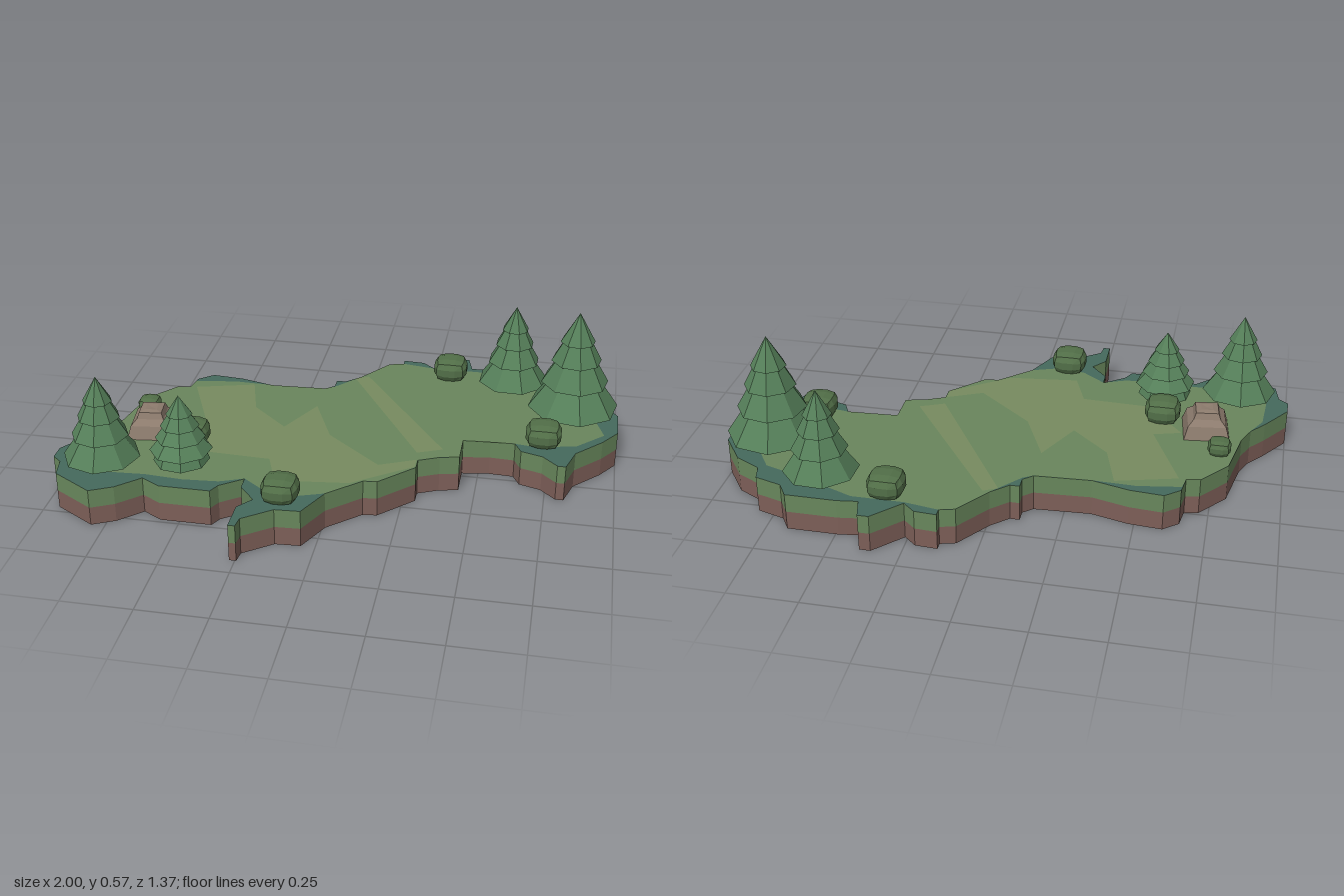
import * as THREE from 'three';

const mat = (color, extra = {}) => new THREE.MeshStandardMaterial({ color, flatShading: true, ...extra });
const M = {
  soil: mat(0x7d5f58), turf: mat(0x68875c), edge: mat(0x45695c), meadow: mat(0x69865c),
  light: mat(0x778b60), needles: mat(0x557f59), bush: mat(0x526f48), trunk: mat(0x7a5a40), rock: mat(0x8c7b6d),
};

// Island outline and the meadow inside it, as [x, z]
const OUTLINE = [
  [-.655, -.32], [-.6, -.365], [-.48, -.355], [-.345, -.32], [-.14, -.33], [-.105, -.36], [-.105, -.405], [-.07, -.405],
  [-.01, -.46], [.08, -.585], [.135, -.6], [.135, -.63], [.215, -.625], [.26, -.585], [.355, -.685], [.395, -.685],
  [.415, -.605], [.49, -.615], [.675, -.615], [.71, -.56], [.81, -.53], [.825, -.47], [.92, -.42], [1, -.31],
  [1, -.18], [.945, -.1], [.85, 0], [.82, .1], [.79, .1], [.735, .045], [.655, .02], [.63, -.03], [.54, -.035], [.44, -.02],
  [.44, .1], [.37, .115], [.295, .15], [.295, .2], [.175, .32], [.125, .325], [.01, .43], [-.05, .555], [-.14, .56],
  [-.24, .635], [-.245, .68], [-.27, .68], [-.27, .565], [-.225, .51], [-.285, .44], [-.285, .385], [-.365, .445],
  [-.385, .485], [-.57, .485], [-.64, .445], [-.72, .52], [-.8, .56], [-.95, .47], [-.965, .39], [-1, .36], [-1, .3],
  [-.92, .185], [-.87, .125], [-.84, .055], [-.805, -.13], [-.715, -.24], [-.665, -.25],
];
const MEADOW = [
  [-.655, -.3], [-.5, -.325], [-.345, -.32], [-.14, -.33], [-.105, -.35], [-.01, -.46], [.08, -.585], [.14, -.6],
  [.26, -.58], [.45, -.58], [.65, -.5], [.8, -.45], [.9, -.3], [.95, -.15], [.85, -.05], [.7, -.02], [.63, -.03], [.44, -.02],
  [.44, .1], [.37, .115], [.295, .15], [.295, .2], [.175, .32], [.125, .325], [.01, .43], [-.1, .47], [-.2, .45],
  [-.285, .385], [-.37, .42], [-.5, .43], [-.64, .42], [-.8, .43], [-.92, .36], [-.91, .2], [-.87, .125], [-.84, .055],
  [-.805, -.13], [-.715, -.24], [-.665, -.25],
];
const LIGHT_PATCHES = [
  [[-.64, -.25], [-.42, -.31], [-.37, -.13], [-.23, 0], [-.23, .24], [-.48, .23], [-.62, .06], [-.52, .03]],
  [[-.035, -.435], [.015, -.46], [.375, .06], [.285, .1]],
  [[-.23, 0], [-.14, -.18], [-.05, .03], [.16, .21], [.29, .15], [.29, .2], [.08, .35], [-.18, .38], [-.23, .24]],
];

const toShape = (pts) => new THREE.Shape(pts.map(([x, z]) => new THREE.Vector2(x, -z)));

function add(parent, name, geometry, material, x = 0, y = 0, z = 0) {
  const mesh = new THREE.Mesh(geometry, material);
  mesh.name = name;
  mesh.position.set(x, y, z);
  parent.add(mesh);
  return mesh;
}

function slab(parent, name, y, height, materials) {
  const geo = new THREE.ExtrudeGeometry(toShape(OUTLINE), { depth: height, bevelEnabled: false });
  add(parent, name, geo.rotateX(-Math.PI / 2), materials, 0, y, 0);
}

function patch(parent, name, pts, y, material) {
  add(parent, name, new THREE.ShapeGeometry(toShape(pts)).rotateX(-Math.PI / 2), material, 0, y, 0);
}

// Tiered conifer: each [height, radius] tier is a rim with a tucked-in underside
function tree(parent, name, x, z, base, top, radius, tiers, turn) {
  const group = new THREE.Group();
  group.name = name;
  group.position.set(x, 0, z);
  const h = top - base;
  const profile = [new THREE.Vector2(0, .12 * h)];
  tiers.forEach(([y, r], i) => {
    const next = tiers[i + 1];
    profile.push(new THREE.Vector2(r * radius, y * h));
    if (next) profile.push(new THREE.Vector2(next[1] * radius * .72, (next[0] + .03) * h));
  });
  profile.push(new THREE.Vector2(0, h));
  add(group, 'foliage', new THREE.LatheGeometry(profile, 8, turn), M.needles, 0, base, 0);
  add(group, 'trunk', new THREE.CylinderGeometry(.1 * radius, .12 * radius, .12, 6), M.trunk, 0, .19, 0);
  parent.add(group);
}

// Bush: a coarse box pushed out towards a sphere
function bush(parent, x, z, r) {
  const geo = new THREE.BoxGeometry(2, 2, 2, 3, 3, 3);
  const p = geo.attributes.position;
  const v = new THREE.Vector3();
  for (let i = 0; i < p.count; i++) {
    v.fromBufferAttribute(p, i);
    const round = v.clone().normalize().multiplyScalar(1.05);
    v.multiplyScalar(.82).lerp(round, .75);
    p.setXYZ(i, v.x * r, v.y * r * .68, v.z * r);
  }
  add(parent, 'bush', geo, M.bush, x, .14 + r * .55, z);
}

export function createModel() {
  const model = new THREE.Group();
  model.name = 'forestIsland';

  // Ground layers
  slab(model, 'soilLayer', 0, .07, M.soil);
  slab(model, 'turfLayer', .07, .07, [M.edge, M.turf]);
  patch(model, 'meadow', MEADOW, .141, M.meadow);
  LIGHT_PATCHES.forEach((pts) => patch(model, 'lightGrass', pts, .142, M.light));

  // Trees
  const four = [[0, 1], [.27, .74], [.5, .55], [.7, .38]];
  const five = [[0, .9], [.17, 1], [.36, .8], [.54, .62], [.72, .42]];
  tree(model, 'leftTree', .825, -.285, .185, .568, .17, four, .2);
  tree(model, 'backTree', .585, -.48, .175, .485, .135, four, .35);
  tree(model, 'rightTree', -.81, .37, .175, .485, .138, four, .1);
  tree(model, 'smallTree', -.53, .325, .16, .415, .112, five, .25);

  // Bushes
  [[-.135, .48, .07], [.335, -.53, .07], [.73, -.06, .07], [-.54, .16, .07], [-.765, -.045, .045]]
    .forEach(([x, z, r]) => bush(model, x, z, r));

  // Rock: uneven four-sided stack
  const steps = [[.118, 0], [.098, .05], [.07, .07], [.058, .093], [.03, .097], [0, .095]];
  const rock = new THREE.LatheGeometry(steps.map(([r, y]) => new THREE.Vector2(r, y)), 4, Math.PI / 4);
  add(model, 'rock', rock, M.rock, -.705, .14, .105).rotation.y = .12;

  return model;
}
